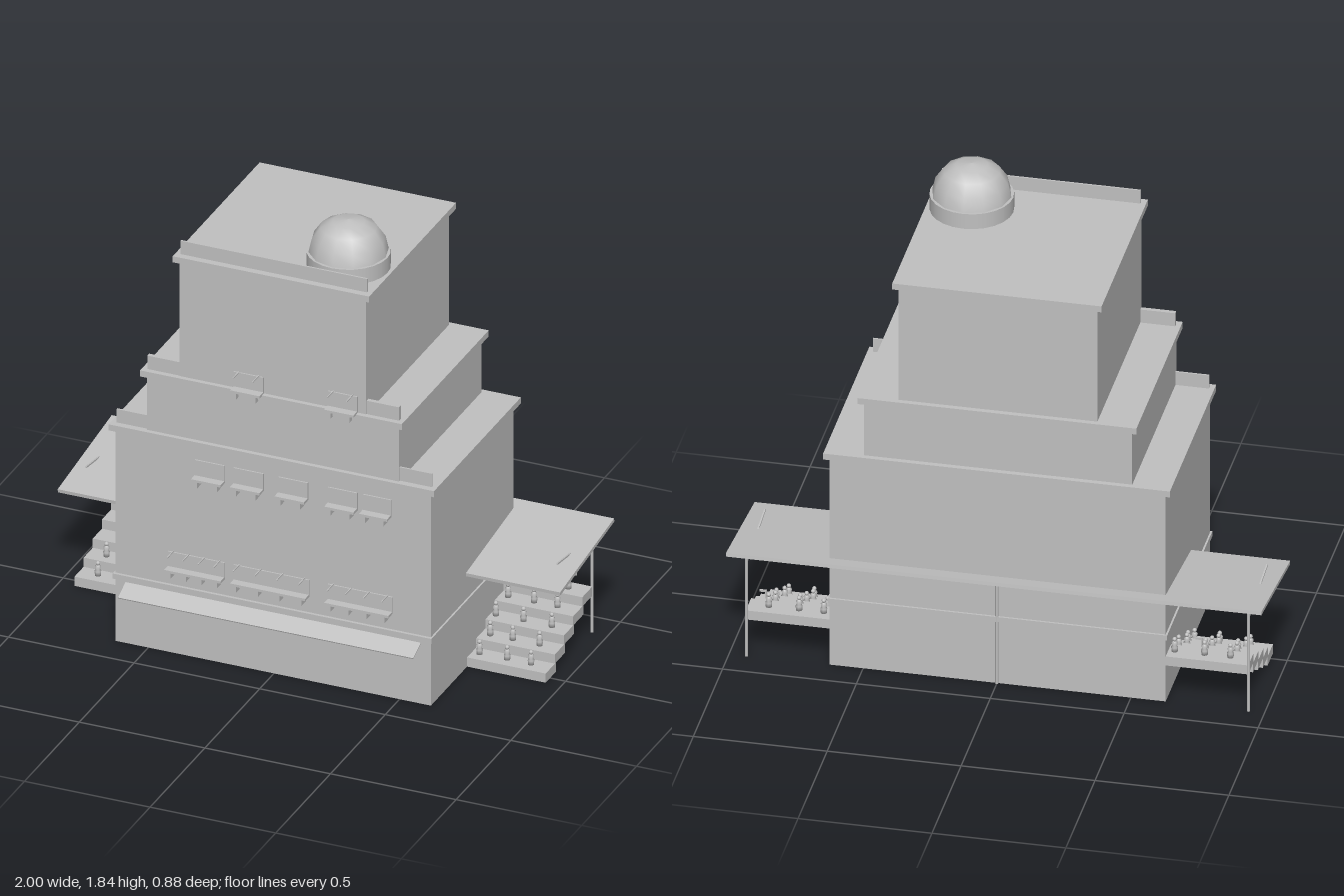
import * as THREE from 'three';

export function createModel() {
  const model = new THREE.Group();
  const grey = new THREE.MeshStandardMaterial({ color: 0xc0c0c0 });
  grey.name = 'plain grey';
  grey.side = THREE.DoubleSide;

  const add = (name, geometry, parent = model) => {
    const mesh = new THREE.Mesh(geometry, grey);
    mesh.name = name;
    parent.add(mesh);
    return mesh;
  };
  // Box given by its limits on each axis
  const box = (name, x0, x1, y0, y1, z0, z1, parent = model) => {
    const mesh = add(name, new THREE.BoxGeometry(x1 - x0, y1 - y0, z1 - z0), parent);
    mesh.position.set((x0 + x1) / 2, (y0 + y1) / 2, (z0 + z1) / 2);
    return mesh;
  };
  // Sloping slab or bar between two points in the yz plane
  const slope = (name, x0, x1, z0, y0, z1, y1, thick) => {
    const mesh = add(name, new THREE.BoxGeometry(x1 - x0, thick, Math.hypot(z1 - z0, y1 - y0)));
    mesh.position.set((x0 + x1) / 2, (y0 + y1) / 2, (z0 + z1) / 2);
    mesh.rotation.x = -Math.atan2(y1 - y0, z1 - z0);
    return mesh;
  };

  // Three stepped tiers, each with a cornice and a front parapet
  const tiers = [
    [-0.63, 0.625, 0, 0.875, 0.9, 0.955, 0.355, 0.362],
    [-0.505, 0.497, 0.9, 1.125, 1.15, 1.205, 0.35, 0.367],
    [-0.375, 0.367, 1.15, 1.625, 1.65, 1.705, 0.354, 0.361],
  ];
  for (const [x0, x1, y0, y1, top, parapetTop, pz0, pz1] of tiers) {
    box('tierWall', x0, x1, y0, y1, -0.385, 0.37);
    box('cornice', x0 - 0.02, x1 + 0.02, y1, top, -0.405, 0.388);
    box('parapet', x0, x1, top, parapetTop, pz0, pz1);
  }
  box('streetLedge', -0.637, 0.632, 0.262, 0.283, -0.393, 0.382);

  // Rooftop dome on a round drum
  const drum = add('domeDrum', new THREE.CylinderGeometry(0.155, 0.155, 0.062, 24));
  drum.position.set(0.22, 1.681, 0.193);
  const profile = [[0.148, 1.71], [0.136, 1.763], [0.105, 1.808], [0.06, 1.832], [0, 1.84]];
  const dome = add('dome', new THREE.LatheGeometry(profile.map(([r, y]) => new THREE.Vector2(r, y)), 12));
  dome.position.set(0.22, 0, 0.193);

  // Sloping shop awning across the front
  slope('awning', -0.59, 0.585, 0.37, 0.25, 0.44, 0.22, 0.005);

  // Windows with a shelf, small brackets below and thin rods above
  const rows = [
    { y: 0.358, h: 0.06, rods: true, spans: [[-0.42, -0.195], [-0.158, 0.142], [0.217, 0.473]] },
    { y: 0.756, h: 0.063, rods: false,
      spans: [[-0.313, -0.195], [-0.158, -0.04], [0.019, 0.137], [0.217, 0.334], [0.356, 0.468]] },
    { y: 1.157, h: 0.06, rods: true, spans: [[-0.158, -0.04], [0.217, 0.334]] },
  ];
  for (const { y, h, rods, spans } of rows) {
    for (const [x0, x1] of spans) {
      const win = new THREE.Group();
      win.name = 'window';
      model.add(win);
      box('windowPanel', x0, x1, y, y + h, 0.37, 0.376, win);
      box('windowShelf', x0, x1, y - 0.01, y, 0.37, 0.41, win);
      const count = x1 - x0 > 0.2 ? 4 : 2;
      for (let i = 0; i < count; i++) {
        const x = x0 + 0.02 + (x1 - x0 - 0.04) * i / (count - 1);
        box('shelfBracket', x - 0.005, x + 0.005, y - 0.033, y - 0.01, 0.37, 0.41, win);
        if (rods) box('windowRod', x - 0.002, x + 0.002, y + h, y + h + 0.004, 0.37, 0.428, win);
      }
    }
  }

  // Long tilted canopy behind the building, with posts and braces
  slope('canopy', -1, 1, 0.05, 0.385, -0.443, 0.45, 0.014);
  for (const x of [-0.94, 0, 0.935]) {
    const post = add('canopyPost', new THREE.CylinderGeometry(0.006, 0.006, 0.42, 8));
    post.position.set(x, 0.21, -0.388);
    slope('canopyBrace', x - 0.003, x + 0.003, -0.385, 0.395, -0.07, 0.437, 0.006);
  }

  // Small spectator standing on a step
  const bodyShape = [[0, 0], [0.012, 0], [0.013, 0.018], [0.009, 0.024], [0.012, 0.036], [0.005, 0.043]]
    .map(([r, y]) => new THREE.Vector2(r, y));
  const bodyGeometry = new THREE.LatheGeometry(bodyShape, 8);
  const headGeometry = new THREE.SphereGeometry(0.0085, 8, 6);
  const spectator = (x, y, z, waving) => {
    const person = new THREE.Group();
    person.name = 'spectator';
    person.position.set(x, y, z);
    add('body', bodyGeometry, person);
    add('head', headGeometry, person).position.y = 0.05;
    if (waving) {
      box('raisedArm', 0.008, 0.013, 0.034, 0.064, -0.003, 0.003, person);
      box('raisedHand', 0.008, 0.034, 0.06, 0.068, -0.003, 0.003, person);
    }
    model.add(person);
  };

  // Stepped stands on both sides, open underneath, with rows of spectators
  for (const side of [-1, 1]) {
    for (let i = 0; i < 5; i++) {
      const front = 0.04 - i * 0.0835;
      const top = 0.038 * (i + 1);
      const inner = side * 0.625, outer = side * 0.938;
      box('standStep', Math.min(inner, outer), Math.max(inner, outer),
        top - 0.038, top, Math.max(front - 0.092, -0.385), front);
      [0.655, 0.757, 0.862].forEach((x, k) => {
        const jitter = 0.008 * Math.sin(i * 2.3 + k * 1.7);
        spectator(side * x + jitter, top, front - 0.045,
          i === 4 && k === (side < 0 ? 1 : 2));
      });
    }
  }
  return model;
}
